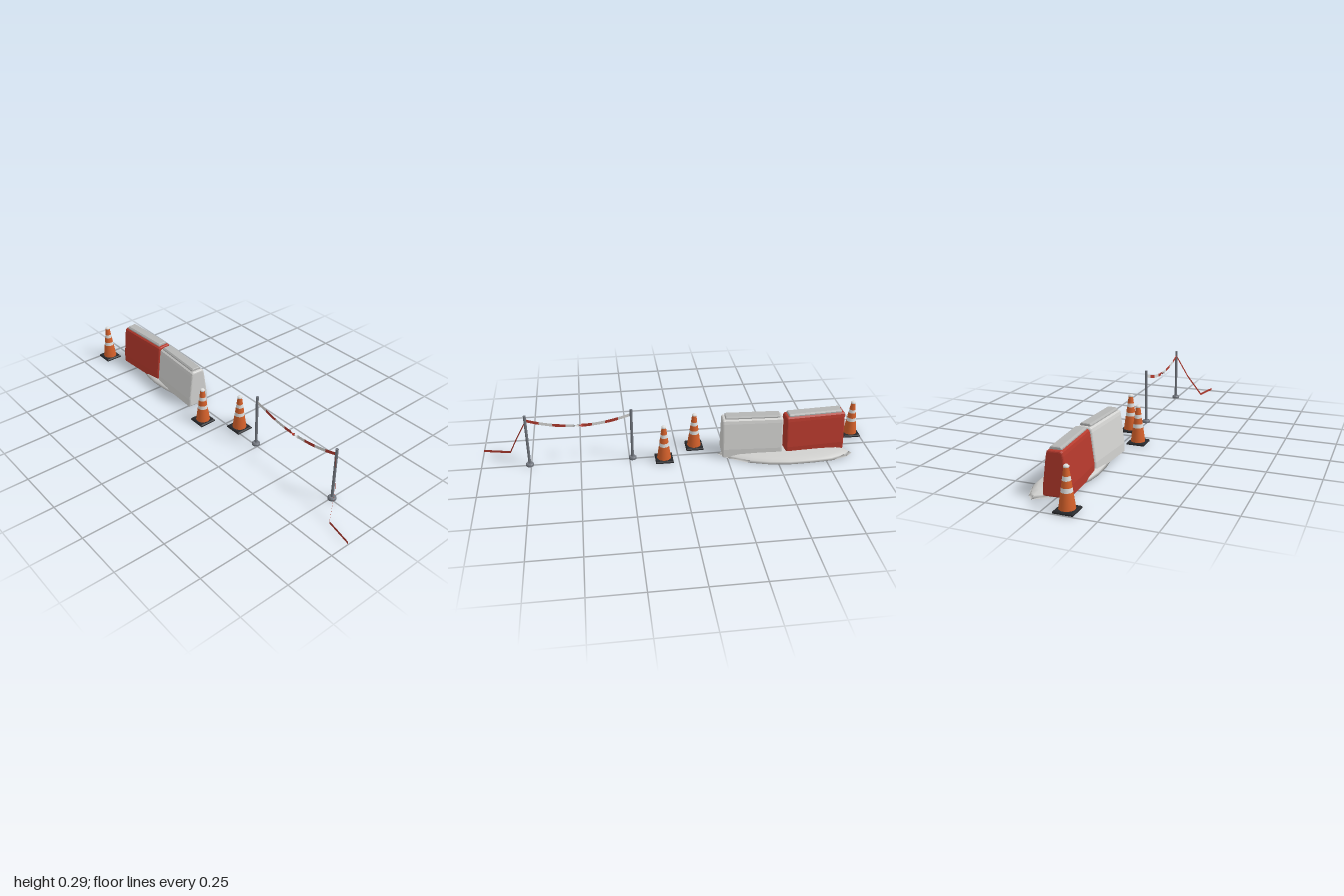
import * as THREE from 'three';

const mat = (name, color, side = THREE.FrontSide) => {
  const m = new THREE.MeshStandardMaterial({ color, side });
  m.name = name;
  return m;
};

export function createModel() {
  const root = new THREE.Group();
  root.name = 'roadworkSet';
  const orange = mat('coneOrange', 0xd4602a);
  const white = mat('stripeWhite', 0xdededc);
  const rubber = mat('blackRubber', 0x27282b);
  const red = mat('barrierRed', 0xb5392c);
  const shell = mat('barrierWhite', 0xd2d2d0);
  const capGrey = mat('capGrey', 0xb4b5b4);
  const drift = mat('driftGrey', 0xcfcfcd, THREE.DoubleSide);
  const steel = mat('postSteel', 0x737880);
  const tapeRed = mat('tapeRed', 0xb03a2e, THREE.DoubleSide);
  const tapeWhite = mat('tapeWhite', 0xd8d8d6, THREE.DoubleSide);

  const add = (parent, name, geo, material, x = 0, y = 0, z = 0) => {
    const m = new THREE.Mesh(geo, material);
    m.name = name;
    m.position.set(x, y, z);
    parent.add(m);
    return m;
  };

  // Traffic cones: stacked frustum bands on a square foot
  const radiusAt = y => 0.036 - (y - 0.013) * 0.141;
  const bands = [[0.013, 0.086, orange], [0.086, 0.105, white], [0.105, 0.134, orange],
    [0.134, 0.153, white], [0.153, 0.188, orange]];
  [[-0.955, 0.1], [-0.095, 0.074], [0.075, -0.031]].forEach(([x, z]) => {
    const cone = new THREE.Group();
    cone.name = 'trafficCone';
    cone.position.set(x, 0, z);
    const foot = new THREE.CylinderGeometry(0.041 * Math.SQRT2, 0.045 * Math.SQRT2, 0.005, 4).toNonIndexed();
    foot.computeVertexNormals();
    foot.rotateY(Math.PI / 4);
    add(cone, 'footTop', foot, rubber, 0, 0.0115, 0);
    add(cone, 'footPlate', new THREE.BoxGeometry(0.09, 0.006, 0.09), rubber, 0, 0.006, 0);
    bands.forEach(([a, b, m]) => add(cone, m === white ? 'reflectiveBand' : 'coneBody',
      new THREE.CylinderGeometry(radiusAt(b), radiusAt(a), b - a, 24, 1, true), m, 0, (a + b) / 2, 0));
    const tip = [[0.0105, 0.186], [0.0125, 0.189], [0.0125, 0.194], [0.008, 0.199], [0, 0.199]];
    add(cone, 'coneTip', new THREE.LatheGeometry(tip.map(p => new THREE.Vector2(...p)), 20), white);
    root.add(cone);
  });

  // Barriers: tapered profile run along x, with softened ends
  const extrudeX = (pts, length, bevel) => {
    const s = new THREE.Shape(pts.map(p => new THREE.Vector2(...p)));
    const g = new THREE.ExtrudeGeometry(s, { depth: length - 2 * bevel, bevelSize: bevel,
      bevelThickness: bevel, bevelOffset: -bevel, bevelSegments: 3 });
    g.translate(0, 0, -length / 2 + bevel);
    return g.rotateY(Math.PI / 2);
  };
  const mirrored = half => [...half, ...half.slice().reverse().map(([x, y]) => [-x, y])];
  const body = mirrored([[0.058, 0.005], [0.058, 0.05], [0.054, 0.08], [0.04, 0.188], [0.036, 0.204], [0.028, 0.211]]);
  const cap = mirrored([[0.028, 0.2], [0.028, 0.217], [0.021, 0.224]]);
  [[-0.707, 0.06, red], [-0.382, -0.05, shell]].forEach(([x, turn, m]) => {
    const barrier = new THREE.Group();
    barrier.name = 'barrier';
    add(barrier, 'barrierBody', extrudeX(body, 0.312, 0.009), m);
    add(barrier, 'barrierCap', extrudeX(cap, 0.282, 0.005), capGrey);
    barrier.position.set(x, 0, -0.008);
    barrier.rotation.y = turn;
    root.add(barrier);
  });

  // Low mound under and behind the barriers, lofted from one shrinking outline
  const outline = [[-0.905, -0.09], [-0.87, -0.12], [-0.79, -0.148], [-0.68, -0.157], [-0.56, -0.159], [-0.45, -0.145],
    [-0.345, -0.115], [-0.25, -0.06], [-0.205, -0.013], [-0.235, 0.003], [-0.33, 0.035], [-0.45, 0.055],
    [-0.55, 0.062], [-0.63, 0.055], [-0.75, 0.025], [-0.86, -0.025]];
  const rings = [[0, 0], [1, 0], [0.94, 0.011], [0.82, 0.02], [0.55, 0.025], [0, 0.027]];
  const n = outline.length, pos = [], idx = [];
  rings.forEach(([k, y], r) => outline.forEach(([x, z], i) => {
    pos.push(-0.56 + (x + 0.56) * k, y, -0.05 + (z + 0.05) * k);
    const j = (i + 1) % n, a = r * n + i, b = r * n + j;
    if (r < rings.length - 1) idx.push(a, a + n, b, b, a + n, b + n);
  }));
  const mound = new THREE.BufferGeometry();
  mound.setAttribute('position', new THREE.Float32BufferAttribute(pos, 3));
  mound.setIndex(idx);
  mound.computeVertexNormals();
  add(root, 'groundMound', mound, drift);

  // Tape posts
  [0.235, 0.757].forEach(x => {
    const post = new THREE.Group();
    post.name = 'tapePost';
    post.position.set(x, 0, -0.004);
    const profile = [[0, 0.003], [0.02, 0.003], [0.02, 0.013], [0.016, 0.018], [0, 0.018]];
    const base = new THREE.LatheGeometry(profile.map(p => new THREE.Vector2(...p)), 20).toNonIndexed();
    base.computeVertexNormals();
    add(post, 'postBase', base, steel);
    add(post, 'postPole', new THREE.CylinderGeometry(0.007, 0.007, 0.275, 16), steel, 0, 0.1525, 0);
    root.add(post);
  });

  // Ribbon strip following at(t), its width turned by twist(t)
  const ribbon = (at, twist, t0, t1, steps, width) => {
    const p = [], f = [];
    for (let i = 0; i <= steps; i++) {
      const t = t0 + (t1 - t0) * i / steps, c = at(t), a = twist(t);
      const dy = Math.cos(a) * width / 2, dz = Math.sin(a) * width / 2;
      p.push(c.x, c.y - dy, c.z - dz, c.x, c.y + dy, c.z + dz);
      if (i < steps) f.push(2 * i, 2 * i + 2, 2 * i + 1, 2 * i + 1, 2 * i + 2, 2 * i + 3);
    }
    const g = new THREE.BufferGeometry();
    g.setAttribute('position', new THREE.Float32BufferAttribute(p, 3));
    g.setIndex(f);
    g.computeVertexNormals();
    return g;
  };

  // Sagging striped tape with a twist at mid span
  const sag = t => new THREE.Vector3(0.235 + 0.522 * t, 0.217 + 0.046 * (2 * t - 1) ** 2, -0.003);
  const twist = t => 2 * Math.PI * THREE.MathUtils.smoothstep(t, 0.45, 0.56);
  for (let i = 0; i < 8; i++)
    add(root, 'tapeStripe', ribbon(sag, twist, i / 8, (i + 1) / 8, 12, 0.016), i % 2 ? tapeRed : tapeWhite);

  // Loose tape end falling to the ground
  const fall = [[0.757, 0.255, 0], [0.815, 0.13, 0.05], [0.862, 0.011, 0.122], [1, 0.011, 0.152]]
    .map(p => new THREE.Vector3(...p));
  const along = t => {
    const i = Math.min(2, Math.floor(t * 3));
    return fall[i].clone().lerp(fall[i + 1], t * 3 - i);
  };
  add(root, 'looseTape', ribbon(along, () => 0, 0, 1, 12, 0.013), tapeRed);
  return root;
}
